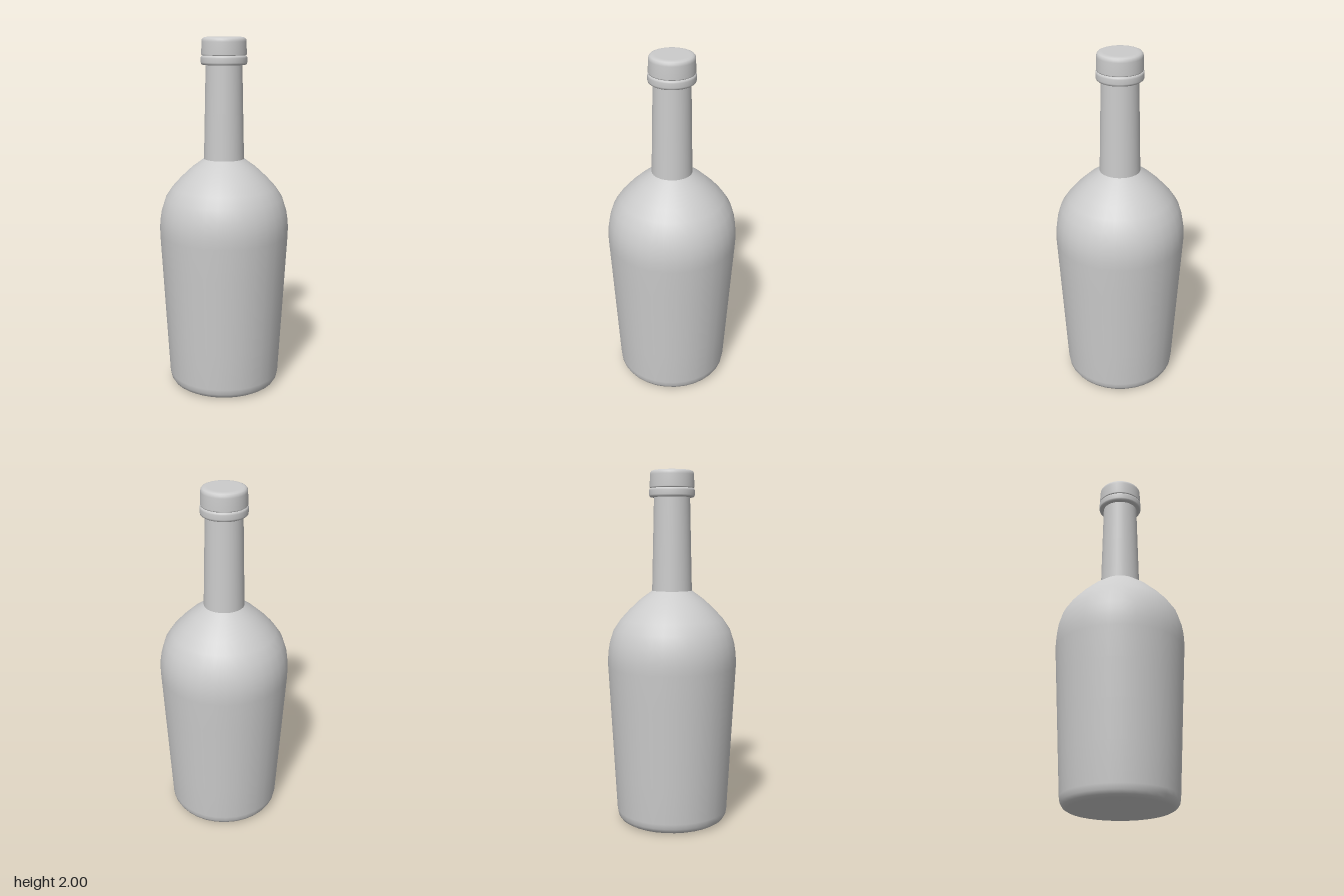
import * as THREE from 'three';

const SEGMENTS = 32;

export function createModel() {
  const bottle = new THREE.Group();
  bottle.name = 'bottle';
  const material = new THREE.MeshStandardMaterial({ color: 0xcccccc });

  // Revolves a [radius, height] profile, listed from the bottom up
  function turned(name, profile) {
    const points = profile.map(([r, y]) => new THREE.Vector2(r, y));
    const mesh = new THREE.Mesh(new THREE.LatheGeometry(points, SEGMENTS), material);
    mesh.name = name;
    bottle.add(mesh);
  }

  // Shallow hollow under the base
  turned('basePunt', [
    [0, 0.05], [0.015, 0.05], [0.09, 0.038], [0.17, 0.022], [0.23, 0.007], [0.26, 0],
  ]);

  // Tapered body with rounded heel and shoulder
  turned('body', [
    [0.26, 0], [0.285, 0.004], [0.303, 0.015], [0.315, 0.035], [0.32, 0.065],
    [0.332, 0.28], [0.344, 0.5], [0.356, 0.72], [0.366, 0.9], [0.366, 0.95],
    [0.363, 0.99], [0.355, 1.04], [0.333, 1.11], [0.293, 1.17], [0.243, 1.225],
    [0.18, 1.284], [0.11, 1.335],
  ]);

  // Long neck
  turned('neck', [[0.113, 1.332], [0.107, 1.59], [0.101, 1.86]]);

  // Collar ring below the cap
  turned('collar', [
    [0.095, 1.852], [0.12, 1.852], [0.126, 1.857], [0.128, 1.865],
    [0.128, 1.889], [0.126, 1.897], [0.12, 1.902], [0.1, 1.902],
  ]);

  // Cap with a softened top edge
  turned('cap', [
    [0.1, 1.903], [0.123, 1.903], [0.125, 1.908], [0.123, 1.975],
    [0.121, 1.987], [0.115, 1.995], [0.105, 1.999], [0.09, 2], [0, 2],
  ]);

  return bottle;
}
